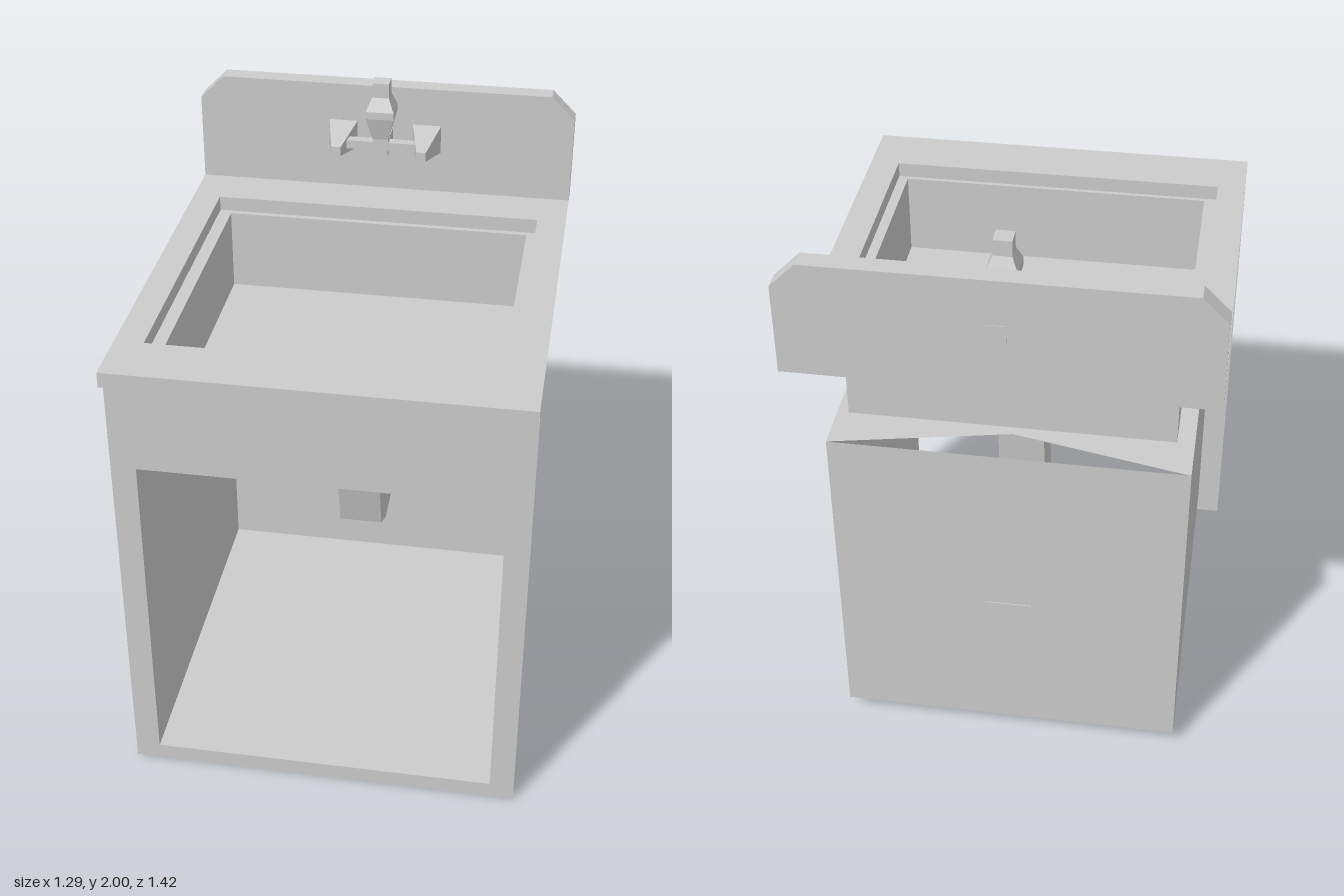
import * as THREE from 'three';

const mat = new THREE.MeshStandardMaterial({ color: 0xcccccc, flatShading: true, side: THREE.DoubleSide });

export function createModel() {
  const root = new THREE.Group();

  function add(name, geometry, x = 0, y = 0, z = 0, parent = root) {
    const mesh = new THREE.Mesh(geometry, mat);
    mesh.name = name;
    mesh.position.set(x, y, z);
    parent.add(mesh);
    return mesh;
  }
  const poly = (pts) => new THREE.Shape(pts.map(([a, b]) => new THREE.Vector2(a, b)));
  const rect = (x0, x1, y0, y1) => poly([[x0, y0], [x1, y0], [x1, y1], [x0, y1]]);

  // Flat sheet with an optional hole, drawn in x and y
  function sheet(outline, hole) {
    if (hole) outline.holes.push(hole);
    return new THREE.ShapeGeometry(outline);
  }
  // Flat sheet lying level: shape y becomes z
  const levelSheet = (outline, hole) => sheet(outline, hole).rotateX(Math.PI / 2);

  // Four upright walls round a rectangle
  function walls(name, [x0, x1, z0, z1], y0, y1, parent, openFront = false) {
    const h = y1 - y0, yc = (y0 + y1) / 2, xc = (x0 + x1) / 2, zc = (z0 + z1) / 2;
    for (const x of [x0, x1]) {
      add(name + 'Side', new THREE.PlaneGeometry(z1 - z0, h).rotateY(x > 0 ? Math.PI / 2 : -Math.PI / 2), x, yc, zc, parent);
    }
    add(name + 'Back', new THREE.PlaneGeometry(x1 - x0, h).rotateY(Math.PI), xc, yc, z0, parent);
    if (!openFront) add(name + 'Front', new THREE.PlaneGeometry(x1 - x0, h), xc, yc, z1, parent);
  }

  // Cabinet: open-fronted box behind a framed front panel
  const cabinet = new THREE.Group();
  cabinet.name = 'cabinet';
  root.add(cabinet);
  const box = [-0.565, 0.565, -0.57, 0.665];
  walls('cabinet', box, 0.055, 1.205, cabinet, true);
  add('cabinetFloor', levelSheet(rect(...box)), 0, 0.055, 0, cabinet);
  // the cabinet top is cut away in a shallow wedge along the back
  add('cabinetTop', levelSheet(poly([[-0.565, -0.57], [0, -0.45], [0.565, -0.57], [0.565, 0.665], [-0.565, 0.665]])), 0, 1.205, 0, cabinet);
  add('frontPanel', sheet(rect(-0.645, 0.645, 0, 1.52), rect(-0.565, 0.565, 0.055, 1.205)), 0, 0, 0.665, cabinet);

  // Counter sheet with a folded front lip
  const rim = [-0.553, 0.549, -0.48, 0.523];
  const bowl = [-0.511, 0.516, -0.46, 0.508];
  add('counter', levelSheet(rect(-0.645, 0.645, -0.71, 0.71), rect(...rim)), 0, 1.57, 0);
  add('counterLip', new THREE.PlaneGeometry(1.29, 0.05), 0, 1.545, 0.71);
  add('counterLipUnderside', levelSheet(rect(-0.645, 0.645, 0.665, 0.71)), 0, 1.52, 0);

  // Basin with a stepped rim
  const basin = new THREE.Group();
  basin.name = 'basin';
  root.add(basin);
  walls('rim', rim, 1.52, 1.57, basin);
  add('rimStep', levelSheet(rect(...rim), rect(...bowl)), 0, 1.52, 0, basin);
  walls('bowl', bowl, 1.24, 1.52, basin);
  add('bowlFloor', levelSheet(rect(...bowl)), 0, 1.24, 0, basin);

  // Drain pipe: side profile (z, y) extruded across x
  const pipe = poly([
    [-0.15, 1.2], [-0.09, 0.685], [-0.14, 0.485], [-0.25, 0.43], [-0.573, 0.45],
    [-0.573, 0.59], [-0.27, 0.59], [-0.24, 0.67], [-0.29, 1.2],
  ]);
  add('drainPipe', new THREE.ExtrudeGeometry(pipe, { depth: 0.15, bevelEnabled: false }).rotateY(-Math.PI / 2), 0.075, 0, 0);

  // Backsplash with clipped top corners
  const splash = poly([
    [-0.645, 1.57], [0.645, 1.57], [0.645, 1.865], [0.565, 1.945], [-0.565, 1.945], [-0.645, 1.865],
  ]);
  add('backsplash', new THREE.ExtrudeGeometry(splash, { depth: 0.063, bevelEnabled: false }), 0, 0, -0.71);

  // Faucet: square column, wall stub, crossbar and tapered handles
  const faucet = new THREE.Group();
  faucet.name = 'faucet';
  root.add(faucet);
  const q = Math.SQRT2;
  const column = [[0, 1.74], [0.026, 1.74], [0.026, 1.8], [0.047, 1.88], [0.047, 1.905], [0.028, 1.95], [0.028, 2], [0, 2]]
    .map(([r, y]) => new THREE.Vector2(r * q, y));
  add('faucetColumn', new THREE.LatheGeometry(column, 4, Math.PI / 4), 0, 0, -0.563, faucet);
  add('faucetStub', new THREE.BoxGeometry(0.055, 0.055, 0.152), 0, 1.77, -0.636, faucet);
  add('faucetCrossbar', new THREE.BoxGeometry(0.27, 0.03, 0.034), 0, 1.77, -0.563, faucet);
  for (const s of [-1, 1]) {
    const handle = new THREE.CylinderGeometry(0.016 * q, 0.05 * q, 0.157, 4).rotateY(Math.PI / 4).rotateX(Math.PI / 2);
    add(s > 0 ? 'leftHandle' : 'rightHandle', handle, s * 0.145, 1.765, -0.573, faucet);
  }

  return root;
}
